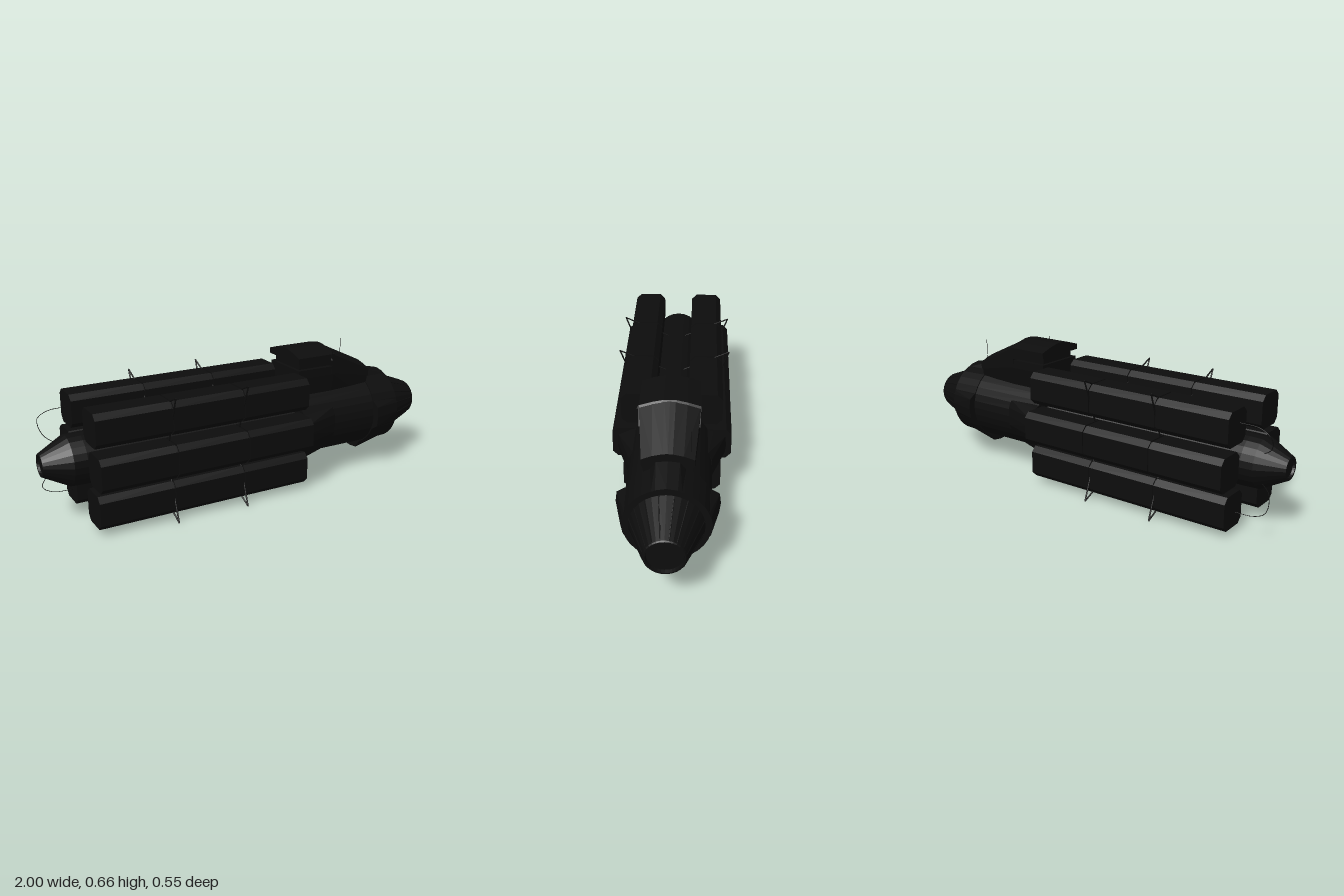
import * as THREE from 'three';
import { ConvexGeometry } from 'three/addons/geometries/ConvexGeometry.js';

const CY = 0.296; // height of the long axis
const V = (x, y, z) => new THREE.Vector3(x, y, z);

export function createModel() {
  const model = new THREE.Group();
  model.name = 'cargoShip';
  const mat = new THREE.MeshStandardMaterial({ color: 0x0d0d0d });
  const flat = new THREE.MeshStandardMaterial({ color: 0x0d0d0d, flatShading: true });
  const ship = new THREE.Group(); // everything inside is measured from the long axis
  ship.name = 'ship';
  ship.position.y = CY;
  model.add(ship);

  const add = (name, geo, parent = ship, m = flat) => {
    const mesh = new THREE.Mesh(geo, m);
    mesh.name = name;
    parent.add(mesh);
    return mesh;
  };
  // Solid of revolution about the x axis, from [x, radius] pairs in rising x
  const turned = (name, pts, sides = 32) => {
    const geo = new THREE.LatheGeometry(pts.map(([x, r]) => new THREE.Vector2(r, x)), sides);
    geo.rotateZ(-Math.PI / 2);
    return add(name, geo);
  };
  const beam = (name, a, b, r, parent = ship) => {
    const mesh = add(name, new THREE.CylinderGeometry(r, r, a.distanceTo(b), 6), parent);
    mesh.position.copy(a).add(b).multiplyScalar(0.5);
    mesh.quaternion.setFromUnitVectors(V(0, 1, 0), b.clone().sub(a).normalize());
    return mesh;
  };
  // Convex loft through [x, [[y, halfWidth], ...]] sections
  const hull = (name, sections, parent = ship) => {
    const pts = [];
    for (const [x, ring] of sections)
      for (const [y, w] of ring) pts.push(V(x, y, w), V(x, y, -w));
    return add(name, new ConvexGeometry(pts), parent);
  };

  // Central spine with tapered engine, then the forward fuselage
  turned('spine', [[-0.99, 0], [-0.99, 0.04], [-1, 0.042], [-1, 0.052], [-0.88, 0.116],
    [-0.82, 0.118], [0.26, 0.118]], 24);
  turned('fuselage', [[0.24, 0], [0.24, 0.185], [0.66, 0.185], [0.66, 0.19], [0.81, 0.183], [0.81, 0.15]]);
  turned('noseCone', [[0.81, 0.157], [0.995, 0.087], [1, 0.083], [1, 0.077], [0.985, 0.074], [0.985, 0]]);

  // Raised ribs running along the nose cone
  for (let i = 0; i < 16; i++) {
    const a = (i + 0.5) / 16 * Math.PI * 2;
    beam('noseRib', V(0.81, Math.cos(a) * 0.156, Math.sin(a) * 0.156),
      V(0.99, Math.cos(a) * 0.088, Math.sin(a) * 0.088), 0.003);
  }

  // Wedges around the collar on four sides, and flared fairings behind on three
  for (let i = 0; i < 4; i++) {
    const side = new THREE.Group();
    side.name = 'wedges';
    side.rotation.x = i * Math.PI / 2;
    ship.add(side);
    hull('collarWedge', [
      [0.66, [[0.12, 0.085], [0.18, 0.072], [0.215, 0.05], [0.221, 0]]],
      [0.81, [[0.12, 0.085], [0.17, 0.062], [0.18, 0.045], [0.188, 0]]]], side);
    if (i > 0) hull('fairing', [
      [0.238, [[0.1, 0.11], [0.19, 0.073], [0.245, 0.045], [0.251, 0]]],
      [0.42, [[0.1, 0.11], [0.165, 0.08], [0.183, 0.045], [0.186, 0]]]], side);
  }

  // Command deck above the fuselage: body, recessed band and overhanging roof
  hull('deckBody', [
    [0.24, [[0.08, 0.1], [0.175, 0.105], [0.235, 0.125], [0.275, 0.125]]],
    [0.44, [[0.08, 0.1], [0.175, 0.105], [0.235, 0.128], [0.275, 0.128]]],
    [0.665, [[0.08, 0.09], [0.175, 0.1], [0.215, 0.11]]]]);
  hull('deckBand', [
    [0.255, [[0.27, 0.105], [0.315, 0.105]]], [0.46, [[0.27, 0.105], [0.315, 0.105]]]]);
  hull('deckRoof', [
    [0.235, [[0.31, 0.132], [0.337, 0.132], [0.355, 0.075], [0.366, 0.025], [0.367, 0]]],
    [0.44, [[0.31, 0.132], [0.337, 0.132], [0.355, 0.075], [0.366, 0.025], [0.367, 0]]],
    [0.5, [[0.27, 0.13]]]]);
  hull('deckSlope', [
    [0.43, [[0.24, 0.13], [0.337, 0.132], [0.355, 0.075], [0.366, 0.025], [0.367, 0]]],
    [0.67, [[0.19, 0.11], [0.225, 0.11], [0.243, 0.065], [0.253, 0.02], [0.254, 0]]]]);

  // Cargo pods: chamfered square columns of three lengths with narrow seams
  const h = 0.0775, c = 0.0525;
  const podShape = (s) => new THREE.Shape([[h, -c], [h, c], [c, h], [-c, h], [-h, c], [-h, -c], [-c, -h], [c, -h]]
    .map(([x, y]) => new THREE.Vector2(x * s, y * s)));
  const column = (name, x0, x1, s, parent) => {
    const geo = new THREE.ExtrudeGeometry(podShape(s), { depth: x1 - x0, bevelEnabled: false });
    geo.rotateY(Math.PI / 2);
    add(name, geo, parent).position.x = x0;
  };
  const seams = [-0.82, -0.47, -0.117, 0.232];
  for (const sz of [-1, 1]) for (const sy of [-1, 0, 1]) {
    const pod = new THREE.Group();
    pod.name = 'cargoPod';
    pod.position.set(0, sy * 0.1855, sz * (sy ? 0.1525 : 0.1975));
    ship.add(pod);
    for (let i = 0; i < 3; i++)
      column('podSection', seams[i] + (i ? 0.004 : 0), seams[i + 1] - (i < 2 ? 0.004 : 0), 1, pod);
    column('podCore', -0.81, 0.225, 0.93, pod);
  }

  // Triangular clamps that pass through the pod seams and meet at an outer point
  for (const x of [-0.47, -0.117]) for (const sy of [-1, 1]) for (const sz of [-1, 1]) {
    const p = (y, z) => V(x, sy * y, sz * z);
    beam('clampStrut', p(0.29, 0.262), p(0.19, 0.045), 0.0035);
    beam('clampStrut', p(0.291, 0.262), p(0.06, 0.176), 0.0035);
    beam('clampBrace', p(0.06, 0.06), p(0.17, 0.14), 0.008);
  }

  // Thin cables looping out of the rear pods on one side
  for (const sy of [-1, 1]) {
    const path = new THREE.CatmullRomCurve3([V(-0.82, sy * 0.2, -0.13), V(-0.91, sy * 0.195, -0.13),
      V(-0.96, sy * 0.165, -0.13), V(-0.95, sy * 0.1, -0.09), V(-0.9, sy * 0.06, -0.07)]);
    add('rearCable', new THREE.TubeGeometry(path, 16, 0.0015, 5), ship, mat);
  }

  // Whip antennas on small feet
  for (const [x, y0, y1, z] of [[0.42, 0.312, 0.35, 0.139], [0.64, 0.23, 0.345, -0.095]]) {
    beam('antenna', V(x, y0, z), V(x, y1, z), 0.0012);
    add('antennaFoot', new THREE.ConeGeometry(0.006, 0.012, 6)).position.set(x, y0 + 0.004, z);
  }
  return model;
}
